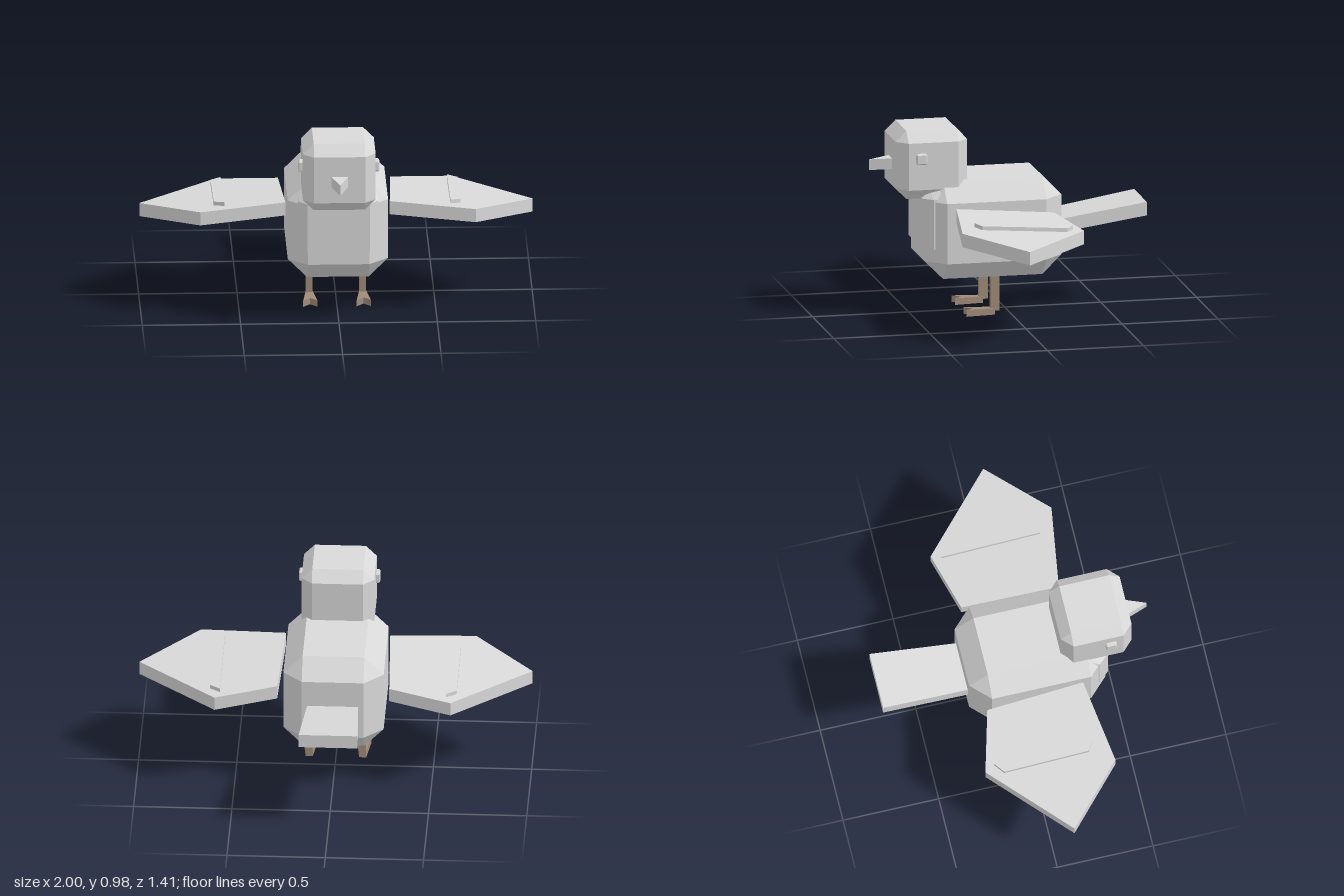
import * as THREE from 'three';
import { ConvexGeometry } from 'three/addons/geometries/ConvexGeometry.js';

const plumage = new THREE.MeshStandardMaterial({ color: 0xd9d9d9 });
plumage.name = 'plumageGrey';
const horn = new THREE.MeshStandardMaterial({ color: 0xa08b7a });
horn.name = 'legBrown';

function addMesh(parent, name, geometry, material) {
  const mesh = new THREE.Mesh(geometry, material);
  mesh.name = name;
  parent.add(mesh);
  return mesh;
}

// Convex flat-faced solid from its corner points
const hull = (points) => new ConvexGeometry(points.map((p) => new THREE.Vector3(...p)));

// Box with all edges cut by c and triangular corners
function chamferBox(min, max, c) {
  const half = min.map((v, i) => (max[i] - v) / 2);
  const points = [];
  for (const sx of [-1, 1]) for (const sy of [-1, 1]) for (const sz of [-1, 1]) {
    for (let axis = 0; axis < 3; axis++) {
      points.push([sx, sy, sz].map((s, i) =>
        (min[i] + max[i]) / 2 + s * (half[i] - (i === axis ? 0 : c))));
    }
  }
  return hull(points);
}

// Slab over a convex [x, z] outline, between two height functions
function slab(outline, bottom, top) {
  return hull(outline.flatMap(([x, z]) => [[x, bottom(x, z), z], [x, top(x, z), z]]));
}

export function createModel() {
  const bird = new THREE.Group();
  bird.name = 'bird';

  addMesh(bird, 'body', chamferBox([-0.255, 0.2, -0.26], [0.255, 0.71, 0.453], 0.098), plumage);
  addMesh(bird, 'head', chamferBox([-0.185, 0.62, 0.225], [0.185, 0.975, 0.595], 0.055), plumage);

  // Chest plate wraps the front corners and leans back under the head
  const chest = [];
  for (const s of [-1, 1]) {
    for (const y of [0.365, 0.625]) {
      chest.push([s * 0.205, y, 0.36], [s * 0.205, y, 0.412], [s * 0.158, y, 0.465]);
    }
    chest.push([s * 0.19, 0.665, 0.36], [s * 0.15, 0.665, 0.425]);
  }
  addMesh(bird, 'chestPlate', hull(chest), plumage);

  // Beak narrows to an upright edge
  addMesh(bird, 'beak', hull([
    [-0.045, 0.76, 0.585], [0.045, 0.76, 0.585], [-0.045, 0.815, 0.585], [0.045, 0.815, 0.585],
    [0, 0.75, 0.705], [0, 0.806, 0.705],
  ]), plumage);

  // Tail widens and rises to the rear
  const tailTop = (x, z) => 0.475 - (z + 0.26) * 0.16;
  addMesh(bird, 'tail', slab([[-0.126, -0.18], [0.126, -0.18], [0.15, -0.707], [-0.15, -0.707]],
    (x, z) => tailTop(x, z) - 0.07, tailTop), plumage);

  const wingTop = (x, z) => 0.583 - 0.0716 * Math.abs(x) + 0.072 * z;
  for (const s of [1, -1]) {
    const side = s > 0 ? 'left' : 'right';
    const mirror = (outline) => outline.map(([x, z]) => [s * x, z]);

    const wing = new THREE.Group();
    wing.name = side + 'Wing';
    bird.add(wing);
    addMesh(wing, 'wingPanel', slab(
      mirror([[0.265, 0.31], [0.7, 0.375], [1, 0.09], [0.6, -0.28], [0.285, -0.195]]),
      (x, z) => wingTop(x, z) - 0.07, wingTop), plumage);
    addMesh(wing, 'wingStrip', slab(
      mirror([[0.575, 0.285], [0.628, 0.255], [0.628, -0.188], [0.575, -0.228]]),
      (x, z) => wingTop(x, z) - 0.005, (x, z) => wingTop(x, z) + 0.02), plumage);

    const eyeX = [s * 0.18, s * 0.206].sort((a, b) => a - b);
    addMesh(bird, side + 'Eye',
      chamferBox([eyeX[0], 0.81, 0.446], [eyeX[1], 0.866, 0.502], 0.006), plumage);

    // Leg with a notched, forward foot
    const leg = new THREE.Group();
    leg.name = side + 'Leg';
    leg.position.x = s * 0.136;
    bird.add(leg);
    const shank = addMesh(leg, 'shank', new THREE.BoxGeometry(0.034, 0.22, 0.045), horn);
    shank.position.set(0, 0.13, 0.083);
    const outline = [[-0.018, 0.085], [-0.036, 0.237], [0, 0.195], [0.036, 0.237], [0.018, 0.085]];
    const shape = new THREE.Shape(outline.map(([x, z]) => new THREE.Vector2(x, -z)));
    const foot = new THREE.ExtrudeGeometry(shape, { depth: 0.034, bevelEnabled: false });
    foot.rotateX(-Math.PI / 2);
    addMesh(leg, 'foot', foot, horn);
  }
  return bird;
}
